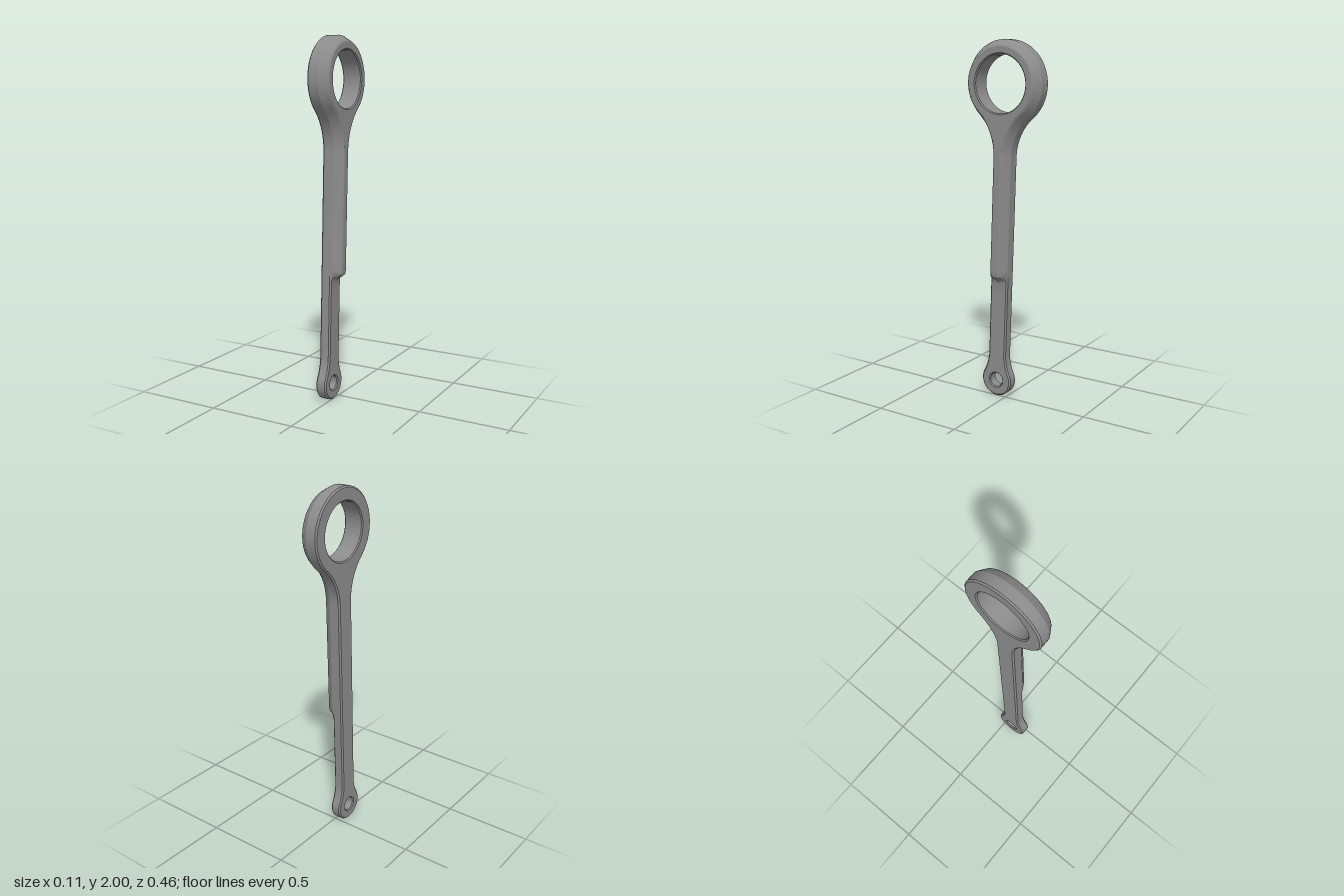
import * as THREE from 'three';
import { mergeGeometries, toCreasedNormals } from 'three/addons/utils/BufferGeometryUtils.js';

const HALF_WIDTH = 0.055;   // shank half width
const LENGTH = 1.676;       // distance between the two eye centres
const HEAD_CUT = 1.0;       // shank length built with the head
const TAIL_CUT = 0.5;       // shank length built with the tail

// Edge profiles as [x, inset], from the back face to the front face
const THICK = [[-0.058, 0.008], [-0.05, 0], [0.007, 0], [0.049, 0.0255], [0.053, 0.0295], [0.057, 0.0365]];
const THIN = [[-0.058, 0.008], [-0.05, 0], [-0.003, 0], [0.001, 0.004], [0.003, 0.006], [0.005, 0.008]];

function buildGeometry(points, index) {
  const geometry = new THREE.BufferGeometry();
  geometry.setAttribute('position', new THREE.Float32BufferAttribute(points.flat(), 3));
  geometry.setIndex(index);
  return geometry;
}

// Surface through rows of [x, y, z] points
function grid(rows) {
  const n = rows[0].length;
  const index = [];
  for (let i = 0; i < rows.length - 1; i++) {
    for (let j = 0; j < n - 1; j++) {
      const a = i * n + j, b = a + 1, c = b + n, d = a + n;
      index.push(a, b, c, a, c, d);
    }
  }
  return buildGeometry(rows.flat(), index);
}

// Outline points carry their outward normal: [z, y, nz, ny]
function arc(cz, cy, r, from, to, count, sign = 1) {
  return Array.from({ length: count + 1 }, (_, i) => {
    const a = from + (to - from) * i / count;
    const c = Math.cos(a), s = Math.sin(a);
    return [cz + r * c, cy + r * s, sign * c, sign * s];
  });
}

const inset = (p, [x, d]) => [x, p[1] - p[3] * d, p[0] - p[2] * d];
const wall = (outline, levels) => grid(outline.map(p => levels.map(l => inset(p, l))));

// Flat face with a hole at one end of the edge profile
function face(outline, hole, level, holeLevel, front) {
  const outer = outline.map(p => inset(p, level));
  const inner = hole.slice(0, -1).map(p => inset(p, holeLevel));
  const flat = list => list.map(p => new THREE.Vector2(p[2], p[1]));
  const triangles = THREE.ShapeUtils.triangulateShape(flat(outer), [flat(inner)]);
  const index = triangles.flatMap(([a, b, c]) => (front ? [a, c, b] : [a, b, c]));
  return buildGeometry([...outer, ...inner], index);
}

// Round eye with a filleted neck and a stretch of shank below it
function eyeEnd(radius, holeRadius, neck, cut, levels) {
  const w = HALF_WIDTH;
  const fillet = (w * w + neck * neck - radius * radius) / (2 * (radius - w));
  const start = Math.atan2(-neck, w + fillet);
  const rightSide = [
    [w, -cut, 1, 0],
    ...arc(w + fillet, -neck, fillet, Math.PI, Math.PI + start, 14, -1),
  ];
  const leftSide = rightSide.map(([z, y, nz, ny]) => [-z, y, -nz, ny]).reverse();
  const crown = arc(0, 0, radius, start, Math.PI - start, 72).slice(1, -1);
  const outline = [...rightSide, ...crown, ...leftSide];

  const hole = arc(0, 0, holeRadius, Math.PI * 2, 0, 64, -1);
  const back = levels[0][0], front = levels[levels.length - 1][0], bevel = 0.006;
  const holeLevels = [[back, bevel], [back + bevel, 0], [front - bevel, 0], [front, bevel]];
  return mergeGeometries([
    wall(outline, levels),
    wall(hole, holeLevels),
    face(outline, hole, levels[0], holeLevels[0], false),
    face(outline, hole, levels[levels.length - 1], holeLevels[3], true),
  ]);
}

// Shank between head and tail, with a rounded step from thin to thick
function stepGeometry() {
  const curve = new THREE.SplineCurve([
    [-1.118, 0], [-1.1, 0.06], [-1.086, 0.2], [-1.075, 0.45],
    [-1.068, 0.7], [-1.061, 0.87], [-1.052, 0.96], [-1.04, 1],
  ].map(([y, t]) => new THREE.Vector2(y, t)));
  const section = (y, t, bow) => {
    const k = THREE.MathUtils.clamp(t, 0, 1);
    const levels = THIN.map((low, i) => low.map((v, j) => THREE.MathUtils.lerp(v, THICK[i][j], k)));
    const right = levels.map(l => inset([HALF_WIDTH, y, 1, 0], l));
    const left = levels.map(l => inset([-HALF_WIDTH, y, -1, 0], l)).reverse();
    const middle = [left[0][0], y, 0];
    // The step bows upward towards both sides
    return [...right, middle, ...left, right[0]]
      .map(([px, py, pz]) => [px, py + bow * (pz / HALF_WIDTH) ** 2, pz]);
  };
  return grid([
    section(TAIL_CUT - LENGTH, 0, 0),
    ...curve.getPoints(28).map(p => section(p.x, p.y, 0.03)),
    section(-HEAD_CUT, 1, 0),
  ]);
}

export function createModel() {
  const group = new THREE.Group();
  group.name = 'ringWrench';
  const material = new THREE.MeshStandardMaterial({ color: 0x8c8c8c });

  // The whole tool leans slightly about the large eye
  const tool = new THREE.Group();
  tool.name = 'tool';
  tool.position.y = 1.77;
  tool.rotation.x = -0.0358;
  group.add(tool);

  const add = (name, geometry) => {
    const mesh = new THREE.Mesh(toCreasedNormals(geometry, 0.5), material);
    mesh.name = name;
    tool.add(mesh);
    return mesh;
  };

  add('ringHead', eyeEnd(0.231, 0.155, 0.39, HEAD_CUT, THICK));
  add('shankStep', stepGeometry());
  const tail = add('hangingEye', eyeEnd(0.094, 0.04, 0.16, TAIL_CUT, THIN));
  tail.position.y = -LENGTH;
  tail.rotation.x = Math.PI;

  return group;
}
